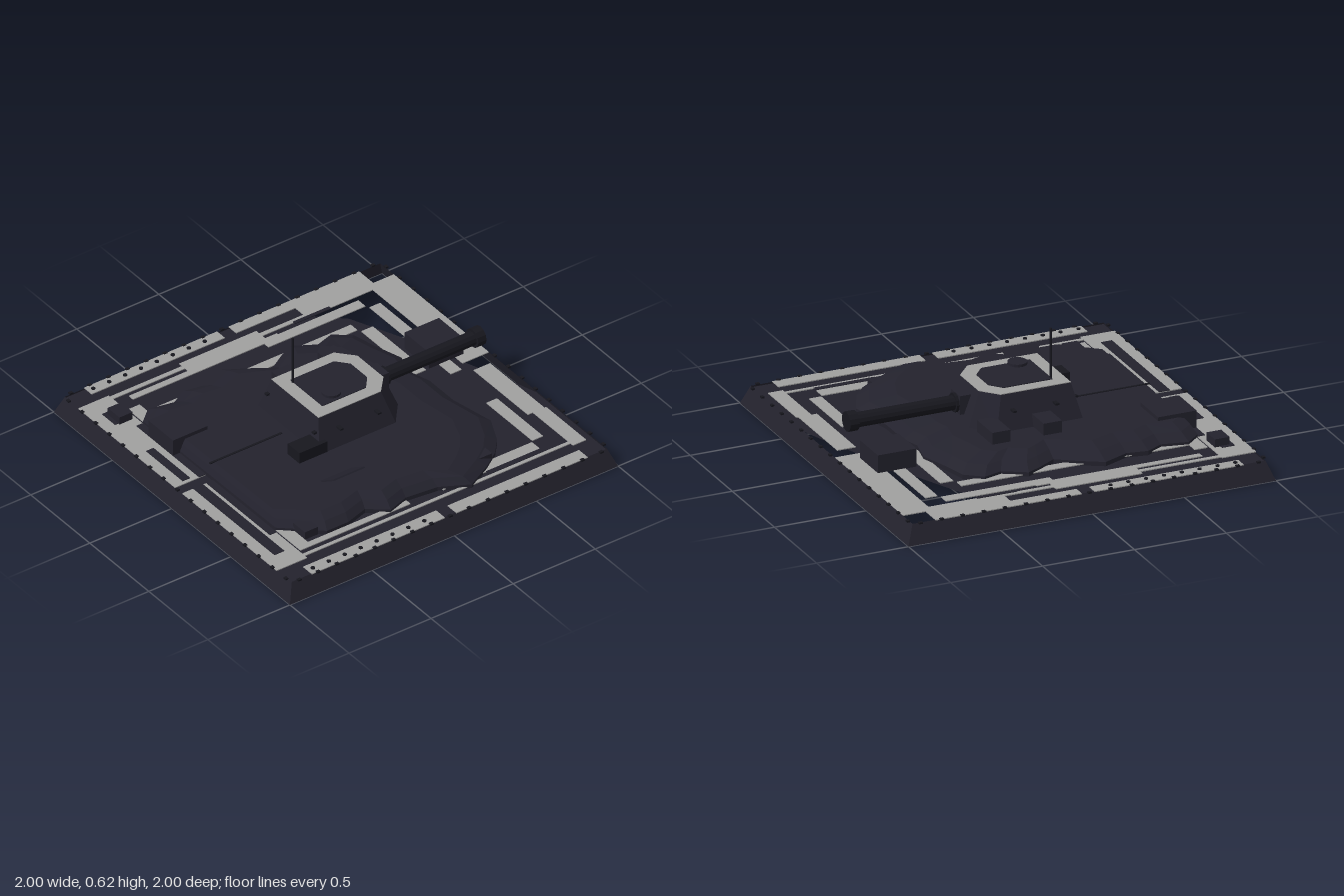
import * as THREE from 'three';

const mat = (name, color, flat = true) =>
  Object.assign(new THREE.MeshStandardMaterial({ color, flatShading: flat, side: THREE.DoubleSide }), { name });

export function createModel() {
  const root = new THREE.Group();
  root.name = 'tankRelief';
  const dark = mat('dark steel', 0x23222d);
  const black = mat('gun black', 0x17171e);
  const grey = mat('plate grey', 0xa0a09f);

  const add = (name, geo, m, x = 0, y = 0, z = 0, parent = root) => {
    const mesh = new THREE.Mesh(geo, m);
    mesh.name = name;
    mesh.position.set(x, y, z);
    parent.add(mesh);
    return mesh;
  };
  const group = (name) => {
    const g = new THREE.Group();
    g.name = name;
    root.add(g);
    return g;
  };
  // box given by its limits
  const box = (name, m, x0, x1, y0, y1, z0, z1, parent = root) =>
    add(name, new THREE.BoxGeometry(x1 - x0, y1 - y0, z1 - z0), m,
      (x0 + x1) / 2, (y0 + y1) / 2, (z0 + z1) / 2, parent);

  // joins rings { y, p: [[x, z], ...] }, clockwise from above, with an optional top cap
  const loft = (rings, cap = true) => {
    const v = [];
    for (let r = 0; r + 1 < rings.length; r++) {
      const lo = rings[r], hi = rings[r + 1], n = lo.p.length;
      for (let i = 0; i < n; i++) {
        const j = (i + 1) % n;
        const a = [lo.p[i][0], lo.y, lo.p[i][1]], b = [lo.p[j][0], lo.y, lo.p[j][1]];
        const c = [hi.p[j][0], hi.y, hi.p[j][1]], d = [hi.p[i][0], hi.y, hi.p[i][1]];
        v.push(...a, ...d, ...c, ...a, ...c, ...b);
      }
    }
    if (cap) {
      const { y, p } = rings[rings.length - 1];
      const tris = THREE.ShapeUtils.triangulateShape(p.map(q => new THREE.Vector2(q[0], q[1])), []);
      for (const t of tris) {
        let [a, b, c] = t.map(i => p[i]);
        const s = (b[0] - a[0]) * (c[1] - a[1]) - (b[1] - a[1]) * (c[0] - a[0]);
        if (s > 0) [b, c] = [c, b];
        for (const q of [a, b, c]) v.push(q[0], y, q[1]);
      }
    }
    const g = new THREE.BufferGeometry();
    g.setAttribute('position', new THREE.Float32BufferAttribute(v, 3));
    g.computeVertexNormals();
    return g;
  };
  const square = s => [[-s, -s], [s, -s], [s, s], [-s, s]];

  // sloping open skirt and the floor with its cut corner
  add('baseSkirt', loft([{ y: 0, p: square(1) }, { y: 0.1, p: square(0.96) }], false), dark);
  add('baseFloor', loft([{ y: 0.092, p: [[-0.96, -0.96], [0.38, -0.96], [0.42, -0.82], [0.57, -0.68],
    [0.7, -0.38], [0.92, 0.23], [0.96, 0.36], [0.96, 0.96], [-0.96, 0.96]] }]), dark);

  // grey border plates: x0, x1, z0, z1
  const plates = group('borderPlates');
  [
    [-0.84, -0.03, -0.965, -0.9], [0.04, 0.835, -0.965, -0.9], [0.4, 0.835, -0.9, -0.845],
    [0.4, 0.96, -0.845, -0.8], [0.8, 0.96, -0.8, -0.04],
    [-0.965, -0.78, -0.84, -0.02], [-0.965, -0.78, 0.04, 0.84],
    [-0.84, 0.5, -0.83, -0.805], [-0.34, 0.13, -0.855, -0.78],
    [-0.7, 0.2, -0.78, -0.745], [0.1, 0.69, -0.77, -0.71],
    [-0.77, -0.7, -0.69, -0.55], [-0.7, 0.54, -0.625, -0.57],
    [0.55, 0.62, -0.55, -0.1], [0.7, 0.765, -0.69, 0],
    [0.7, 0.765, 0.3, 0.69], [0.81, 0.91, 0.04, 0.5], [0.84, 0.92, 0.5, 0.84],
  ].forEach(([a, b, c, d]) => box('greyPlate', grey, a, b, 0.097, 0.102, c, d, plates));
  [
    [-0.84, -0.03, 0.89, 0.965], [0.04, 0.84, 0.89, 0.965], [-0.84, 0.84, 0.8, 0.82],
    [-0.77, -0.7, 0.56, 0.77], [-0.77, -0.1, 0.735, 0.77], [0.1, 0.69, 0.7, 0.77],
  ].forEach(([a, b, c, d]) => box('greyPlate', grey, a, b, 0.097, 0.102, c, d, plates));

  // dark strips on the plates
  const strips = group('darkStrips');
  [
    [-0.9, -0.83, -0.73, -0.62], [-0.905, -0.86, -0.35, -0.04], [-0.82, -0.78, -0.55, -0.02],
    [-0.9, -0.84, 0.04, 0.73], [-0.82, -0.78, 0.04, 0.58],
    [0.32, 0.54, -0.81, -0.79], [0.36, 0.69, 0.77, 0.8],
  ].forEach(([a, b, c, d]) => box('darkStrip', dark, a, b, 0.101, 0.105, c, d, strips));

  // rivets along the rim
  const rivets = group('rivets');
  const rivet = new THREE.CylinderGeometry(0.011, 0.011, 0.008, 8);
  for (const s of [-1, 1]) {
    for (let i = 0; i < 8; i++) {
      add('plateRivet', rivet, black, -0.81 + i * 0.097, 0.104, s * 0.93, rivets);
    }
    for (let i = 0; i < 17; i++) {
      const t = -0.92 + i * 0.115;
      box('rimRivet', black, t - 0.01, t + 0.01, 0.097, 0.106, s * 0.967 - 0.008, s * 0.967 + 0.008, rivets);
      box('rimRivet', black, s * 0.967 - 0.008, s * 0.967 + 0.008, 0.097, 0.106, t - 0.01, t + 0.01, rivets);
    }
  }

  // ragged hull mound with a long slope toward the gun end
  const outline = [[-0.78, -0.55], [-0.7, -0.62], [-0.56, -0.59], [-0.47, -0.64], [-0.36, -0.62],
    [-0.22, -0.68], [-0.1, -0.61], [0, -0.54], [0.1, -0.6], [0.18, -0.64], [0.3, -0.57], [0.4, -0.6],
    [0.49, -0.53], [0.52, -0.4], [0.57, -0.24], [0.54, -0.1], [0.57, 0], [0.57, 0.2], [0.62, 0.45],
    [0.55, 0.6], [0.48, 0.68], [0.38, 0.75], [0.23, 0.83], [0.08, 0.75], [-0.1, 0.73], [-0.22, 0.77],
    [-0.32, 0.69], [-0.45, 0.73], [-0.58, 0.73], [-0.68, 0.64], [-0.77, 0.56]];
  const shrink = (px, nx, pz, nz) =>
    outline.map(([x, z]) => [x * (x > 0 ? px : nx), z * (z > 0 ? pz : nz)]);
  add('hull', loft([
    { y: 0.092, p: outline },
    { y: 0.115, p: outline },
    { y: 0.15, p: shrink(0.9, 0.98, 0.95, 0.9) },
    { y: 0.177, p: shrink(0.68, 0.96, 0.88, 0.78) },
  ]), dark);

  // stowage and hull details
  box('rearStowageBox', dark, -0.82, -0.61, 0.1, 0.197, -0.45, -0.24);
  box('frontStowageBox', dark, 0.64, 0.85, 0.1, 0.197, -0.31, -0.1);
  box('deckBox', dark, -0.12, -0.02, 0.17, 0.24, -0.38, -0.24);
  box('deckBox', dark, 0.16, 0.26, 0.17, 0.24, -0.38, -0.2);
  box('sideHatch', black, -0.41, -0.24, 0.17, 0.24, 0.16, 0.26);
  box('deckSeam', black, -0.77, -0.33, 0.175, 0.18, -0.006, 0.006);
  for (const [x, z] of [[-0.84, -0.66], [-0.66, 0.66], [0.4, 0.66]]) {
    box('trackBlock', dark, x - 0.04, x + 0.04, 0.1, 0.145, z - 0.05, z + 0.05);
  }
  const lid = box('openLid', dark, -0.41, -0.22, 0.206, 0.214, 0.43, 0.56);
  lid.rotation.x = -0.58;

  // turret with angled front, grey roof and dark roof panel
  const turretLow = [[-0.29, -0.26], [0.18, -0.26], [0.28, -0.14], [0.28, 0.14], [0.18, 0.26], [-0.29, 0.26]];
  const turretTop = [[-0.25, -0.2], [0.13, -0.2], [0.21, -0.11], [0.21, 0.11], [0.13, 0.2], [-0.25, 0.2]];
  const roofPanel = [[-0.18, -0.135], [0.085, -0.135], [0.14, -0.07], [0.14, 0.07], [0.085, 0.135], [-0.18, 0.135]];
  add('turret', loft([{ y: 0.17, p: turretLow }, { y: 0.352, p: turretTop }]), dark);
  add('turretRoof', loft([{ y: 0.352, p: turretTop }, { y: 0.356, p: turretTop }]), grey);
  add('roofPanel', loft([{ y: 0.356, p: roofPanel }, { y: 0.36, p: roofPanel }]), dark);
  add('hatch', new THREE.CylinderGeometry(0.05, 0.05, 0.014, 16), dark, -0.09, 0.379, 0.085);
  add('antenna', new THREE.CylinderGeometry(0.006, 0.006, 0.27, 8), black, -0.18, 0.49, -0.115);
  for (const s of [-1, 1]) {
    for (const x of [-0.15, 0.08]) box('turretBolt', black, x - 0.01, x + 0.01, 0.27, 0.28, s * 0.24 - 0.02, s * 0.24 + 0.02);
    box('turretBolt', black, -0.285, -0.25, 0.27, 0.28, s * 0.2 - 0.01, s * 0.2 + 0.01);
  }

  // gun
  box('mantlet', dark, 0.2, 0.285, 0.215, 0.315, -0.052, 0.052);
  const tube = (name, r, x0, x1) => {
    const g = new THREE.CylinderGeometry(r, r, x1 - x0, 12).rotateZ(Math.PI / 2);
    return add(name, g, black, (x0 + x1) / 2, 0.264, 0);
  };
  tube('gunCollar', 0.05, 0.24, 0.3);
  tube('gunBarrel', 0.038, 0.25, 0.84);
  tube('muzzle', 0.052, 0.83, 0.88);

  return root;
}
